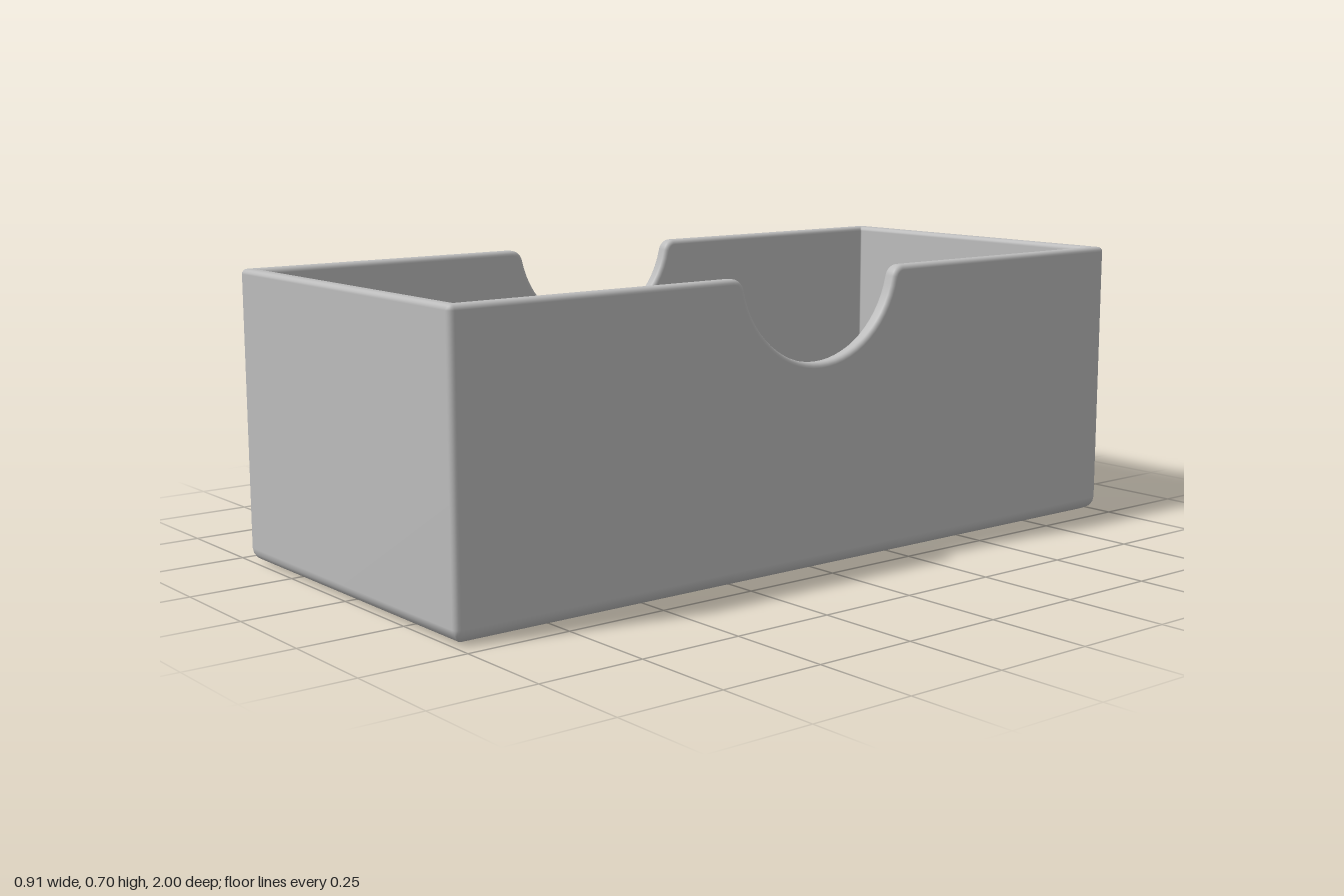
import * as THREE from 'three';

const HX = 0.455, HZ = 1, TOP = 0.7;      // outer half sizes and height
const CORNER = 0.014, WALL = 0.037, FLOOR = 0.03, BEVEL = 0.012;
const NOTCH = { r: 0.237, cy: 0.727, fillet: 0.033 };

// Finger notch outline along one side wall: position s, height y, edge normal (ns, ny)
function notchPath() {
  const { r, cy, fillet: f } = NOTCH;
  const fy = TOP - f;
  const zc = Math.sqrt((r + f) ** 2 - (cy - fy) ** 2);
  const T = Math.atan2(zc, cy - fy);
  const left = [];
  for (let i = 0; i <= 8; i++) {
    const t = (T * i) / 8, ns = Math.sin(t), ny = Math.cos(t);
    left.push({ s: -zc + f * ns, y: fy + f * ny, ns, ny });
  }
  const arc = [];
  for (let i = 1; i < 28; i++) {
    const u = T - (2 * T * i) / 28, ns = Math.sin(u), ny = Math.cos(u);
    arc.push({ s: -r * ns, y: cy - r * ny, ns, ny });
  }
  const right = left.map(p => ({ ...p, s: -p.s, ns: -p.ns })).reverse();
  return [...left, ...arc, ...right];
}

// Stations round the perimeter: +x notch, two corners, -x notch, two corners
function perimeter() {
  const stations = [];
  const notch = side => notchPath().forEach(p =>
    stations.push({ side, s: p.s * side, y: p.y, ns: p.ns * side, ny: p.ny }));
  const corner = (sx, sz, start) => {
    for (let i = 0; i <= 4; i++) {
      const a = start + (i * Math.PI) / 8;
      stations.push({ sx, sz, nx: Math.cos(a), nz: Math.sin(a), y: TOP });
    }
  };
  notch(1);
  corner(1, 1, 0);
  corner(-1, 1, Math.PI / 2);
  notch(-1);
  corner(-1, -1, Math.PI);
  corner(1, -1, Math.PI * 1.5);
  return stations;
}

// Wall section from underside to inner floor: d = inset, y = height,
// or drop = distance below the rim
function wallProfile() {
  const rings = [], N = 4;
  const quarter = fn => {
    for (let i = 0; i <= N; i++) {
      const a = (i / N) * Math.PI / 2;
      rings.push(fn(Math.sin(a), Math.cos(a)));
    }
  };
  quarter((s, c) => ({ d: 0.04 * (1 - s), y: 0.035 * (1 - c) }));                    // bottom edge
  quarter((s, c) => ({ d: BEVEL * (1 - c), drop: BEVEL * (1 - s) }));                // outer rim
  quarter((s, c) => ({ d: WALL - BEVEL * (1 - s), drop: BEVEL * (1 - c) }));         // inner rim
  quarter((s, c) => ({ d: WALL + 0.015 * (1 - c), y: FLOOR + 0.015 * (1 - s) }));    // floor edge
  return rings;
}

function place(st, ring) {
  const { d } = ring, onRim = ring.drop !== undefined;
  if (st.side) {
    return onRim
      ? [st.side * (HX - d), st.y - ring.drop * st.ny, st.s - ring.drop * st.ns]
      : [st.side * (HX - d), ring.y, st.s];
  }
  const r = Math.max(CORNER - d, 0.003);
  return [
    st.sx * (HX - d - r) + r * st.nx,
    onRim ? TOP - ring.drop : ring.y,
    st.sz * (HZ - d - r) + r * st.nz,
  ];
}

function trayGeometry() {
  const stations = perimeter(), rings = wallProfile();
  const n = stations.length, m = rings.length;
  const pos = [], index = [];
  for (const ring of rings) for (const st of stations) pos.push(...place(st, ring));
  for (let j = 0; j < m - 1; j++) {
    for (let i = 0; i < n; i++) {
      const k = (i + 1) % n;
      const a = j * n + i, b = j * n + k, c = a + n, e = b + n;
      index.push(a, c, b, b, c, e);
    }
  }
  // Close the underside and the inner floor
  const under = pos.length / 3, floor = under + 1, last = (m - 1) * n;
  pos.push(0, 0, 0, 0, FLOOR, 0);
  for (let i = 0; i < n; i++) {
    const k = (i + 1) % n;
    index.push(under, i, k, floor, last + k, last + i);
  }
  const g = new THREE.BufferGeometry();
  g.setAttribute('position', new THREE.Float32BufferAttribute(pos, 3));
  g.setIndex(index);
  g.computeVertexNormals();
  return g;
}

export function createModel() {
  const group = new THREE.Group();
  group.name = 'openTray';
  const grey = new THREE.MeshStandardMaterial({ color: 0xbcbcbc });
  grey.name = 'grey';
  const tray = new THREE.Mesh(trayGeometry(), grey);
  tray.name = 'notchedTray';
  group.add(tray);
  return group;
}
